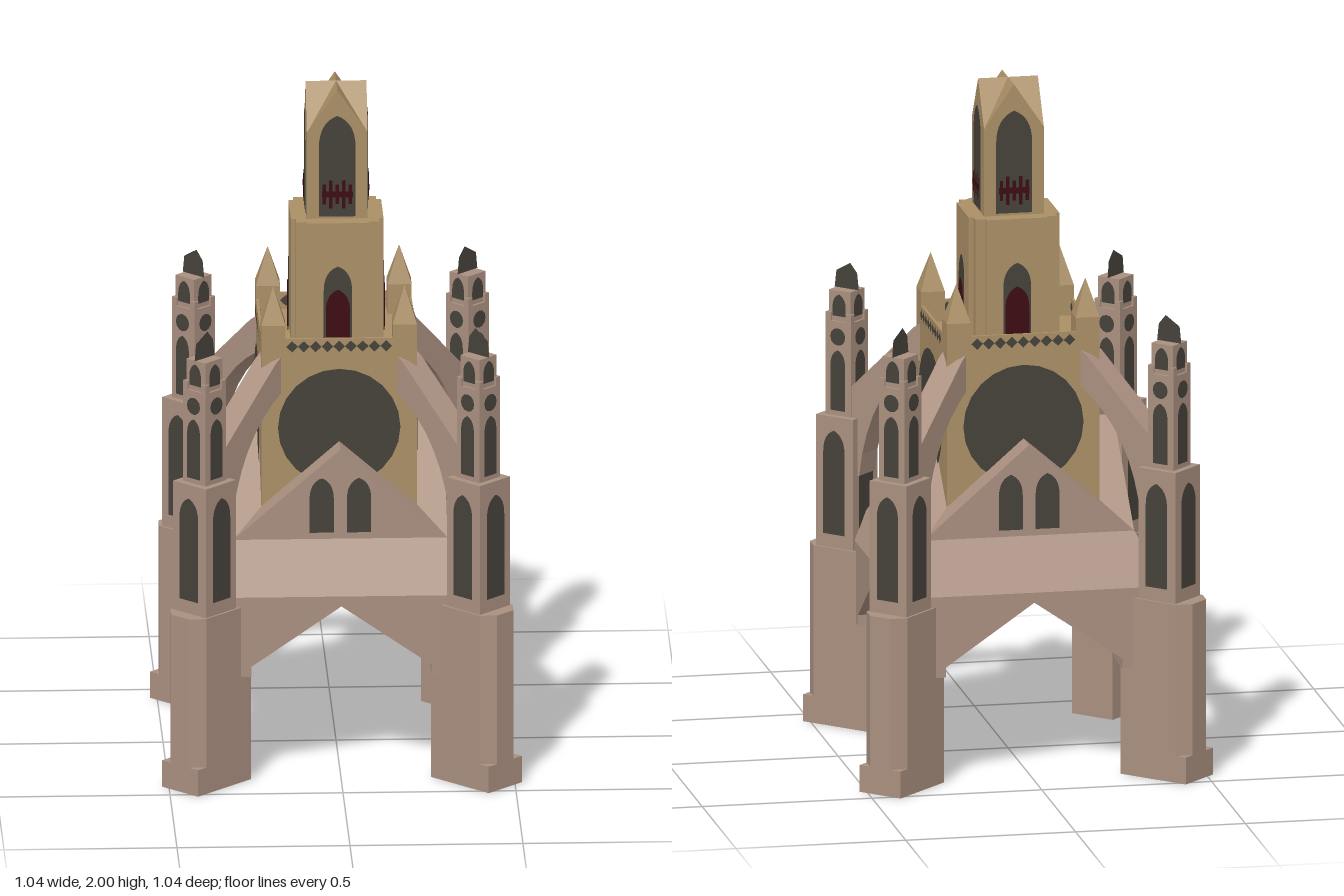
import * as THREE from 'three';

const mat = (name, color, side = THREE.FrontSide) => {
  const m = new THREE.MeshStandardMaterial({ color, side });
  m.name = name;
  return m;
};

export function createModel() {
  const stone = mat('pink brown stone', 0xaa9080, THREE.DoubleSide);
  const tan = mat('tan stone', 0xab8f66, THREE.DoubleSide);
  const dark = mat('dark window', 0x46423b, THREE.DoubleSide);
  const red = mat('dark red', 0x3d0a10, THREE.DoubleSide);

  const model = new THREE.Group();
  model.name = 'tower';

  const add = (parent, name, geo, material, x = 0, y = 0, z = 0) => {
    const m = new THREE.Mesh(geo, material);
    m.name = name;
    m.position.set(x, y, z);
    parent.add(m);
    return m;
  };
  // Box given by its bottom and top heights
  const block = (parent, name, w, d, y0, y1, material, x = 0, z = 0) =>
    add(parent, name, new THREE.BoxGeometry(w, y1 - y0, d), material, x, (y0 + y1) / 2, z);
  // Flat-sided geometry from a list of convex polygons
  const faces = (polys) => {
    const pos = [];
    for (const p of polys)
      for (let i = 1; i < p.length - 1; i++) pos.push(...p[0], ...p[i], ...p[i + 1]);
    const g = new THREE.BufferGeometry();
    g.setAttribute('position', new THREE.Float32BufferAttribute(pos, 3));
    g.computeVertexNormals();
    return g;
  };
  const withMirror = (polys) =>
    [...polys, ...polys.map((p) => p.map(([x, y, z]) => [-x, y, z]).reverse())];
  // Vertical prism from a plan of [x, z] points
  const prism = (points, y0, y1) => {
    const s = new THREE.Shape(points.map(([x, z]) => new THREE.Vector2(x, -z)));
    return new THREE.ExtrudeGeometry(s, { depth: y1 - y0, bevelEnabled: false })
      .rotateX(-Math.PI / 2).translate(0, y0, 0);
  };
  // Pointed arch outline, base at y = 0
  const arch = (w, h) => {
    const s = new THREE.Shape(), a = w / 2, spring = Math.max(h - w * 0.9, h * 0.35);
    s.moveTo(-a, 0);
    s.lineTo(a, 0);
    s.lineTo(a, spring);
    s.quadraticCurveTo(a, h - w * 0.2, 0, h);
    s.quadraticCurveTo(-a, h - w * 0.2, -a, spring);
    return new THREE.ShapeGeometry(s, 8);
  };
  // One group per side, turned about the vertical axis
  const four = (parent, name, offset, build) => {
    for (let k = 0; k < 4; k++) {
      const g = new THREE.Group();
      g.name = name;
      g.rotation.y = offset + k * Math.PI / 2;
      parent.add(g);
      build(g);
    }
  };
  // Quarter of a cross-gabled roof: gable wall and its two slopes
  const gable = (h, y0, y1) => faces(withMirror([
    [[0, y0, h], [h, y0, h], [0, y1, h]],
    [[0, y1, h], [h, y0, h], [0, y1, 0]],
  ]));

  // Lower body: gables, skirt roof, arched walls and groin vault
  four(model, 'bodySide', 0, (g) => {
    add(g, 'gableRoof', gable(0.31, 0.71, 0.98), stone);
    add(g, 'skirtRoof', faces([
      [[-0.39, 0.56, 0.39], [0.39, 0.56, 0.39], [0.31, 0.71, 0.31], [-0.31, 0.71, 0.31]],
    ]), stone);
    add(g, 'archedWall', faces(withMirror([
      [[0.26, 0.32, 0.39], [0.39, 0.32, 0.39], [0.39, 0.56, 0.39], [0.26, 0.56, 0.39]],
      [[0, 0.53, 0.39], [0.26, 0.35, 0.39], [0.26, 0.56, 0.39], [0, 0.56, 0.39]],
    ])), stone);
    add(g, 'vault', faces(withMirror([
      [[0, 0.53, 0], [0.26, 0.35, 0.26], [0.26, 0.35, 0.39], [0, 0.53, 0.39]],
      [[0.26, 0.35, 0.26], [0.26, 0.32, 0.26], [0.26, 0.32, 0.39], [0.26, 0.35, 0.39]],
      [[0.26, 0.32, 0.26], [0.39, 0.32, 0.39], [0.26, 0.32, 0.39]],
    ])), stone);
    for (const s of [-1, 1])
      add(g, 'gableWindow', arch(0.07, 0.165), dark, s * 0.054, 0.73, 0.314);
  });

  // Corner piers in diminishing stages; z points outward along the diagonal
  const w = 0.0707, c = 0.56;
  const buttress = new THREE.Shape();
  buttress.moveTo(0.27, 1.24);
  buttress.lineTo(0.3, 1.22);
  buttress.lineTo(0.53, 1.0);
  buttress.lineTo(0.53, 0.72);
  buttress.lineTo(0.49, 0.75);
  buttress.quadraticCurveTo(0.46, 1.02, 0.27, 1.13);
  const buttressGeo = new THREE.ExtrudeGeometry(buttress,
    { depth: 0.08, bevelEnabled: false, curveSegments: 8 })
    .translate(0, 0, -0.04).rotateY(-Math.PI / 2);
  four(model, 'cornerPier', Math.PI / 4, (g) => {
    block(g, 'pierFoot', 2 * w, 0.227, 0, 0.08, stone, 0, 0.5515);
    add(g, 'pierLeg', prism([[-w, 0.438], [w, 0.438], [w, 0.629], [0.035, 0.665],
      [-0.035, 0.665], [-w, 0.629]], 0.08, 0.53), stone);
    block(g, 'pierMiddle', 0.128, 0.128, 0.53, 0.92, stone, 0, c);
    block(g, 'pierUpper', 0.088, 0.088, 0.92, 1.2, stone, 0, c);
    block(g, 'pierTop', 0.074, 0.074, 1.2, 1.29, stone, 0, c);
    for (const x of [-1, 1]) for (const z of [-1, 1])
      block(g, 'pierPost', 0.018, 0.018, 1.2, 1.225, stone, x * 0.035, c + z * 0.035);
    const turret = new THREE.Group();
    turret.name = 'pierWindows';
    turret.position.z = c;
    g.add(turret);
    four(turret, 'pierWindowSide', 0, (s) => {
      add(s, 'tallWindow', arch(0.074, 0.31), dark, 0, 0.57, 0.067);
      add(s, 'upperWindow', arch(0.05, 0.18), dark, 0, 0.935, 0.047);
      add(s, 'roundWindow', new THREE.CircleGeometry(0.026, 12), dark, 0, 1.155, 0.047);
      add(s, 'topWindow', arch(0.046, 0.065), dark, 0, 1.215, 0.04);
    });
    // Thin finial plate along the diagonal
    const finial = new THREE.Shape();
    finial.moveTo(-0.042, 0);
    finial.lineTo(0.042, 0);
    finial.lineTo(0.036, 0.05);
    finial.lineTo(0.012, 0.078);
    finial.lineTo(-0.036, 0.05);
    add(g, 'finial', new THREE.ShapeGeometry(finial).rotateY(Math.PI / 2), dark, 0, 1.29, c);
    add(g, 'flyingButtress', buttressGeo.clone().scale(1, 1, 1), stone);
  });

  // Main tower
  block(model, 'mainTower', 0.45, 0.45, 0.72, 1.24, tan);
  four(model, 'towerSide', 0, (g) => {
    add(g, 'roseWindow', new THREE.CircleGeometry(0.177, 24), dark, 0, 1.022, 0.229);
    block(g, 'parapet', 0.31, 0.008, 1.24, 1.29, tan, 0, 0.221);
    for (let i = 0; i < 9; i++)
      for (const z of [0.228, 0.214])
        add(g, 'parapetOpening', new THREE.CircleGeometry(0.017, 4), dark,
          (i - 4) * 0.034, 1.267, z);
    const p = block(g, 'pinnacleBase', 0.07, 0.07, 1.24, 1.33, tan, 0.19, 0.19);
    const cone = new THREE.ConeGeometry(0.035 * Math.SQRT2, 0.11, 4).rotateY(Math.PI / 4);
    cone.deleteAttribute('normal');
    const flat = cone.toNonIndexed();
    flat.computeVertexNormals();
    add(g, 'pinnacleSpire', flat, tan, p.position.x, 1.385, p.position.z);
  });

  // Belfry with stepped corners
  const step = [[0.134, 0.09], [0.12, 0.09], [0.12, 0.12], [0.09, 0.12], [0.09, 0.134]];
  const plan = [];
  for (let k = 0; k < 4; k++)
    for (const [x, z] of step) {
      const a = k * Math.PI / 2, cs = Math.round(Math.cos(a)), sn = Math.round(Math.sin(a));
      plan.push([x * cs - z * sn, x * sn + z * cs]);
    }
  add(model, 'belfry', prism(plan, 1.24, 1.61), tan);
  four(model, 'belfrySide', 0, (g) => {
    add(g, 'belfryWindow', arch(0.082, 0.23), dark, 0, 1.25, 0.137);
    add(g, 'belfryDoor', arch(0.07, 0.16), red, 0, 1.25, 0.14);
  });

  // Lantern with cross-gabled roof
  block(model, 'lantern', 0.176, 0.176, 1.61, 1.87, tan);
  four(model, 'lanternSide', 0, (g) => {
    add(g, 'lanternRoof', gable(0.088, 1.87, 2), tan);
    add(g, 'lanternWindow', arch(0.106, 0.305), dark, 0, 1.617, 0.091);
    for (let i = 0; i < 5; i++)
      add(g, 'lanternRail', new THREE.PlaneGeometry(0.01, i % 2 ? 0.085 : 0.06), red,
        (i - 2) * 0.019, 1.685, 0.094);
    add(g, 'lanternRailBar', new THREE.PlaneGeometry(0.09, 0.018), red, 0, 1.685, 0.095);
  });

  return model;
}
